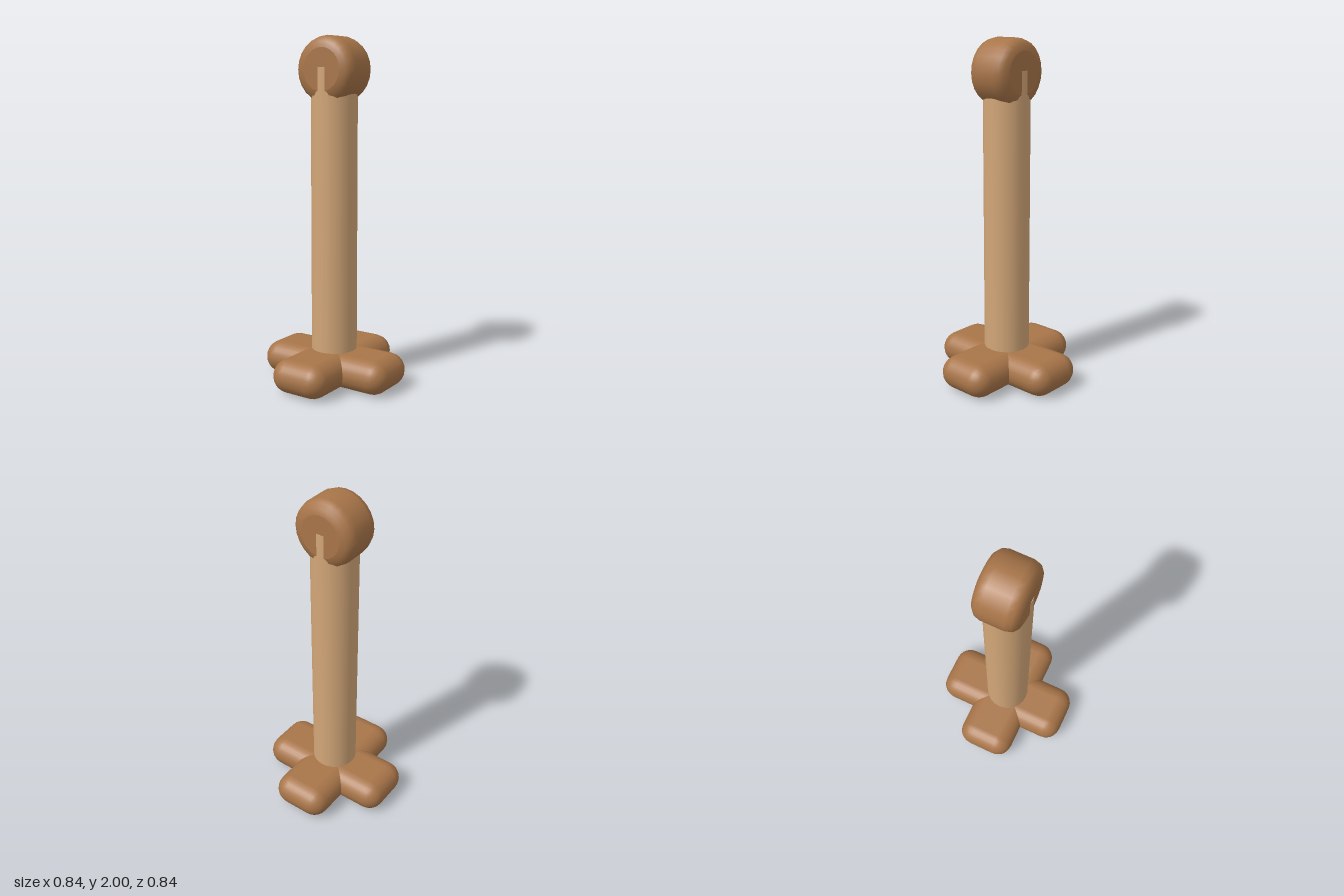
import * as THREE from 'three';
import { RoundedBoxGeometry } from 'three/addons/geometries/RoundedBoxGeometry.js';

export function createModel() {
  const group = new THREE.Group();
  const darkWood = new THREE.MeshStandardMaterial({ color: 0xa87549 });
  const lightWood = new THREE.MeshStandardMaterial({ color: 0xd2a678 });

  const add = (name, geometry, material, y) => {
    const mesh = new THREE.Mesh(geometry, material);
    mesh.name = name;
    mesh.position.y = y;
    group.add(mesh);
    return mesh;
  };

  // Two crossed, fully rounded bars form the foot
  for (const [i, name] of ['baseBarAcross', 'baseBarAlong'].entries()) {
    const bar = add(name, new RoundedBoxGeometry(0.84, 0.194, 0.354, 3, 0.0969), darkWood, 0.099);
    bar.rotation.y = i * Math.PI / 2;
  }

  // Upright post, its top buried in the head and just proud of its faces
  const bottom = 0.1, top = 1.825;
  add('post', new THREE.CylinderGeometry(0.133, 0.133, top - bottom, 24), lightWood, (top + bottom) / 2);

  // Head: short drum lying along z, with rounded rims
  const rim = [[0.12, 0.13], [0.152, 0.122], [0.178, 0.1], [0.188, 0.065]];
  const front = rim.map(([r, h]) => new THREE.Vector2(r, h));
  const back = rim.map(([r, h]) => new THREE.Vector2(r, -h)).reverse();
  const profile = [...front, ...back].reverse();
  const head = new THREE.Group();
  head.name = 'head';
  head.position.y = 1.812;
  head.rotation.x = Math.PI / 2;
  const drum = new THREE.Mesh(new THREE.LatheGeometry(profile, 24), darkWood);
  drum.name = 'headDrum';
  head.add(drum);
  // Flat end faces
  for (const s of [1, -1]) {
    const face = new THREE.Mesh(new THREE.CircleGeometry(0.12, 24), darkWood);
    face.name = s > 0 ? 'headFrontFace' : 'headBackFace';
    face.rotation.set(-s * Math.PI / 2, 0, Math.PI / 2);
    face.position.y = s * 0.13;
    head.add(face);
  }
  group.add(head);

  return group;
}
